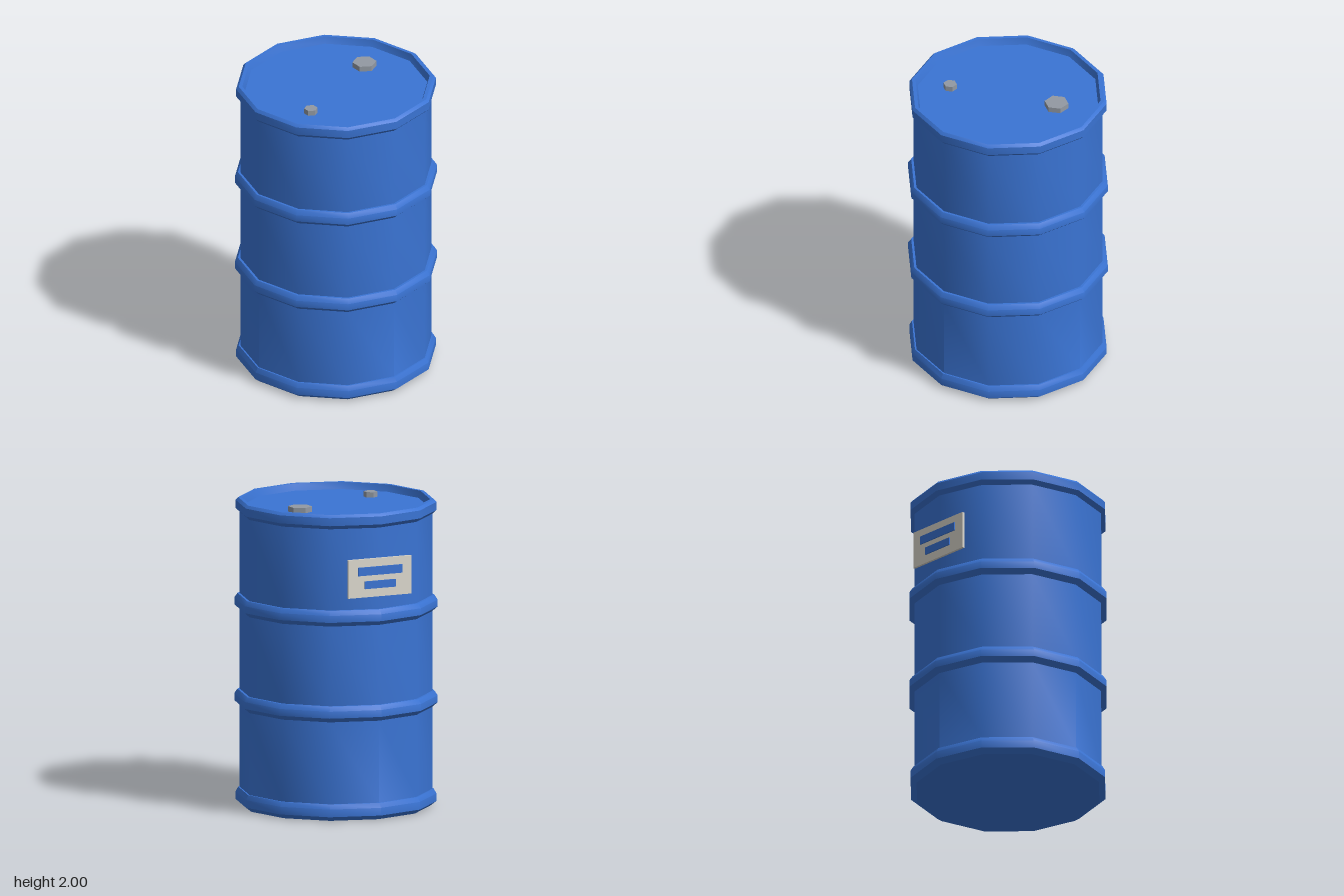
import * as THREE from 'three';
import { toCreasedNormals } from 'three/addons/utils/BufferGeometryUtils.js';

export function createModel() {
  const mat = (name, color) => new THREE.MeshStandardMaterial({ name, color });
  const blue = mat('drum blue', 0x3a74d4);
  const steel = mat('cap grey', 0x9299a3);
  const cream = mat('label cream', 0xdcd8ce);

  const group = new THREE.Group();
  group.name = 'drum';
  const add = (name, geometry, material, x = 0, y = 0, z = 0) => {
    const mesh = new THREE.Mesh(geometry, material);
    mesh.name = name;
    mesh.position.set(x, y, z);
    group.add(mesh);
  };

  // Twelve-sided shell, smooth around and sharp along the profile
  const R = 0.62;
  const hoop = (y) => [
    [R, y], [0.655, y + 0.03], [0.655, y + 0.075], [0.635, y + 0.105], [R, y + 0.105],
  ];
  const profile = [
    [0, 0], [0.607, 0], [0.647, 0.03], [0.647, 0.08], [0.63, 0.11], [R, 0.11],
    ...hoop(0.645),
    ...hoop(1.27),
    [R, 1.905], [0.647, 1.93], [0.647, 1.982], [0.63, 2],
    [0.607, 2], [0.592, 1.955], [0, 1.955],
  ].map(([r, y]) => new THREE.Vector2(r, y));
  add('shell', toCreasedNormals(new THREE.LatheGeometry(profile, 12), 0.58), blue);

  // Hexagonal filler caps on the recessed lid
  const cap = (name, r, x, z) => {
    const geometry = toCreasedNormals(new THREE.CylinderGeometry(r, r, 0.04, 6), 0.5);
    add(name, geometry, steel, x, 1.97, z);
  };
  cap('largeCap', 0.078, 0.315, -0.115);
  cap('smallCap', 0.044, -0.337, 0.18);

  // Back label plate with two raised bars
  add('labelPlate', new THREE.BoxGeometry(0.45, 0.25, 0.016), cream, 0, 1.585, -0.626);
  add('labelUpperBar', new THREE.BoxGeometry(0.315, 0.055, 0.009), blue, 0, 1.63, -0.6375);
  add('labelLowerBar', new THREE.BoxGeometry(0.22, 0.05, 0.009), blue, 0, 1.54, -0.6375);

  return group;
}
